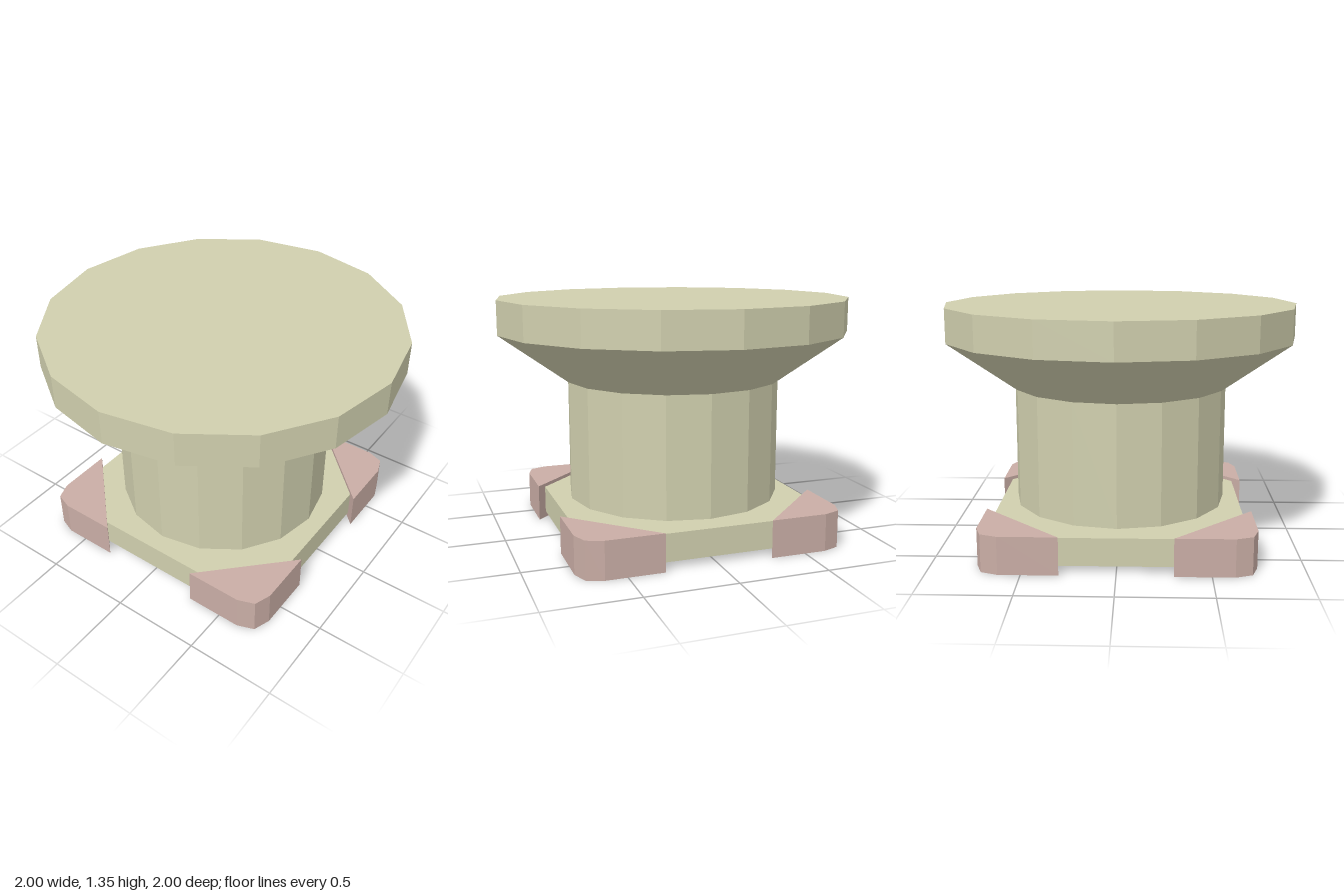
import * as THREE from 'three';

const khaki = new THREE.MeshStandardMaterial({ color: 0xd0cfae, flatShading: true });
const pink = new THREE.MeshStandardMaterial({ color: 0xc9ada5, flatShading: true });

// Revolve a profile into a 16-sided solid
function turned(name, profile) {
  const points = profile.map(([r, y]) => new THREE.Vector2(r, y));
  const mesh = new THREE.Mesh(new THREE.LatheGeometry(points, 16), khaki);
  mesh.name = name;
  return mesh;
}

// Extrude a plan outline upwards from y0 to y1
function slab(name, outline, y0, y1, material) {
  const shape = new THREE.Shape(outline.map(([x, y]) => new THREE.Vector2(x, y)));
  const geometry = new THREE.ExtrudeGeometry(shape, { depth: y1 - y0, bevelEnabled: false });
  geometry.rotateX(-Math.PI / 2).translate(0, y0, 0);
  const mesh = new THREE.Mesh(geometry, material);
  mesh.name = name;
  return mesh;
}

export function createModel() {
  const model = new THREE.Group();
  model.name = 'pedestal';

  // Flared top and round column
  model.add(turned('flaredTop', [[0, 0.885], [0.615, 0.885], [1, 1.16], [1, 1.35], [0, 1.35]]));
  model.add(turned('column', [[0, 0.21], [0.612, 0.21], [0.612, 0.885]]));

  // Square base plate with cut corners, tucked into the corner feet
  const e = 0.7, c = 0.355;
  model.add(slab('basePlate',
    [[e, -c], [e, c], [c, e], [-c, e], [-e, c], [-e, -c], [-c, -e], [c, -e]],
    0.035, 0.19, khaki));

  // Four rounded triangular corner feet
  const foot = [[0.3, 0.747], [0.747, 0.3], [0.747, 0.62], [0.713, 0.713], [0.62, 0.747]];
  for (let i = 0; i < 4; i++) {
    const corner = slab('cornerFoot' + (i + 1), foot, 0, 0.21, pink);
    corner.rotation.y = i * Math.PI / 2;
    model.add(corner);
  }
  return model;
}
